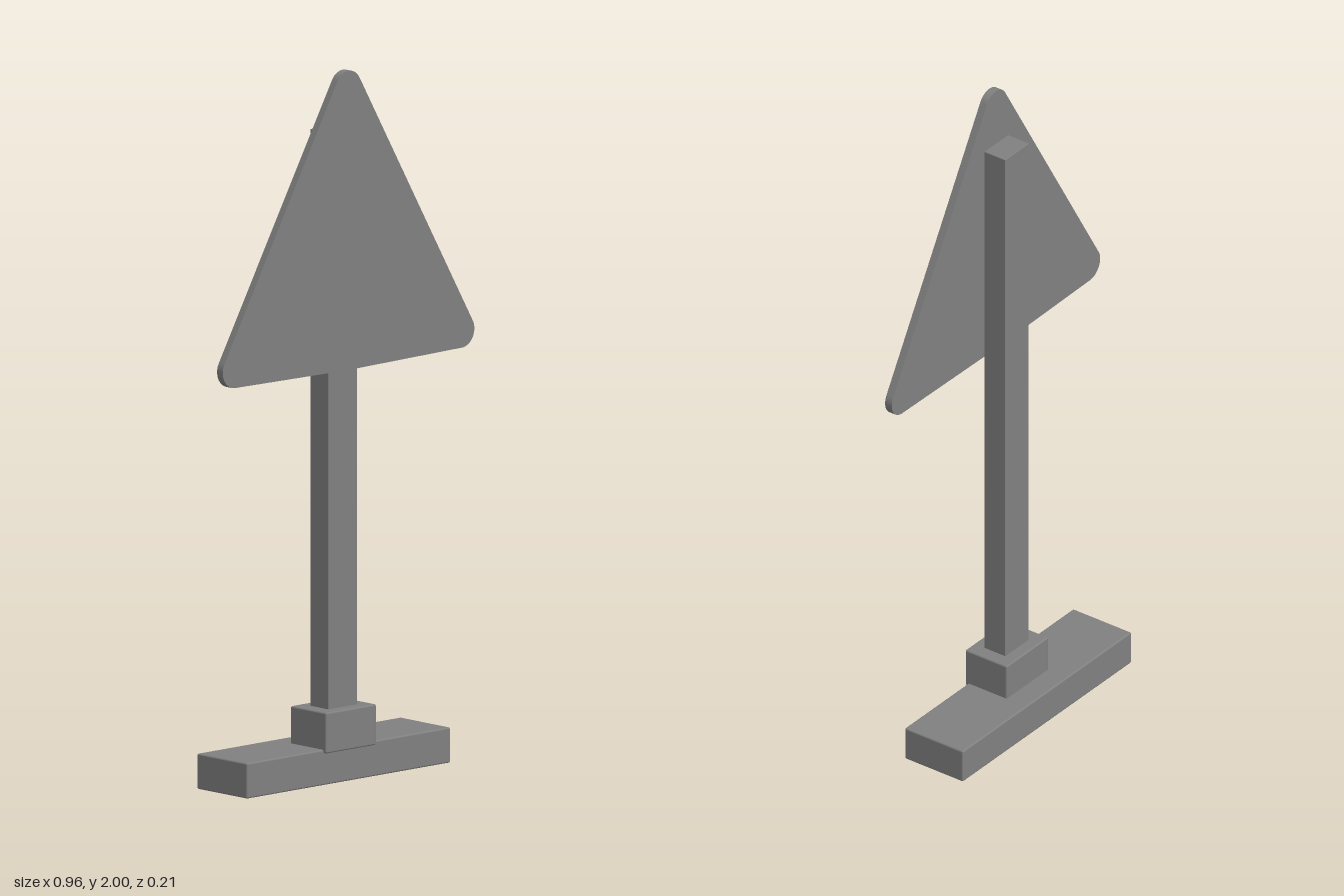
import * as THREE from 'three';
import { RoundedBoxGeometry } from 'three/addons/geometries/RoundedBoxGeometry.js';

export function createModel() {
  const group = new THREE.Group();
  const grey = new THREE.MeshStandardMaterial({ color: 0x808080 });
  grey.name = 'grey';

  const add = (name, geometry) => {
    const mesh = new THREE.Mesh(geometry, grey);
    mesh.name = name;
    group.add(mesh);
  };

  // Box between two corners, with slightly softened edges
  const box = (name, [x0, y0, z0], [x1, y1, z1], radius) => {
    const g = new RoundedBoxGeometry(x1 - x0, y1 - y0, z1 - z0, 2, radius);
    g.translate((x0 + x1) / 2, (y0 + y1) / 2, (z0 + z1) / 2);
    add(name, g);
  };

  box('base', [-0.388, 0, -0.107], [0.386, 0.1, 0.095], 0.005);
  box('collar', [-0.097, 0.09, -0.039], [0.095, 0.205, 0.105], 0.005);
  box('post', [-0.055, 0.1, -0.003], [0.054, 1.83, 0.07], 0.002);

  // Triangular sign plate with rounded corners and a slightly bowed lower edge
  const r = 0.048;
  const deg = Math.PI / 180;
  const outline = new THREE.Shape();
  outline.absarc(0, 1.952, r, 30 * deg, 150 * deg, false);
  outline.absarc(-0.43, 1.211, r, 150 * deg, 269 * deg, false);
  outline.lineTo(0, 1.157);
  outline.absarc(0.43, 1.211, r, -89 * deg, 30 * deg, false);
  const plate = new THREE.ExtrudeGeometry(outline, { depth: 0.023, bevelEnabled: false, curveSegments: 10 });
  plate.translate(0, 0, 0.07);
  add('signPlate', plate);

  return group;
}
